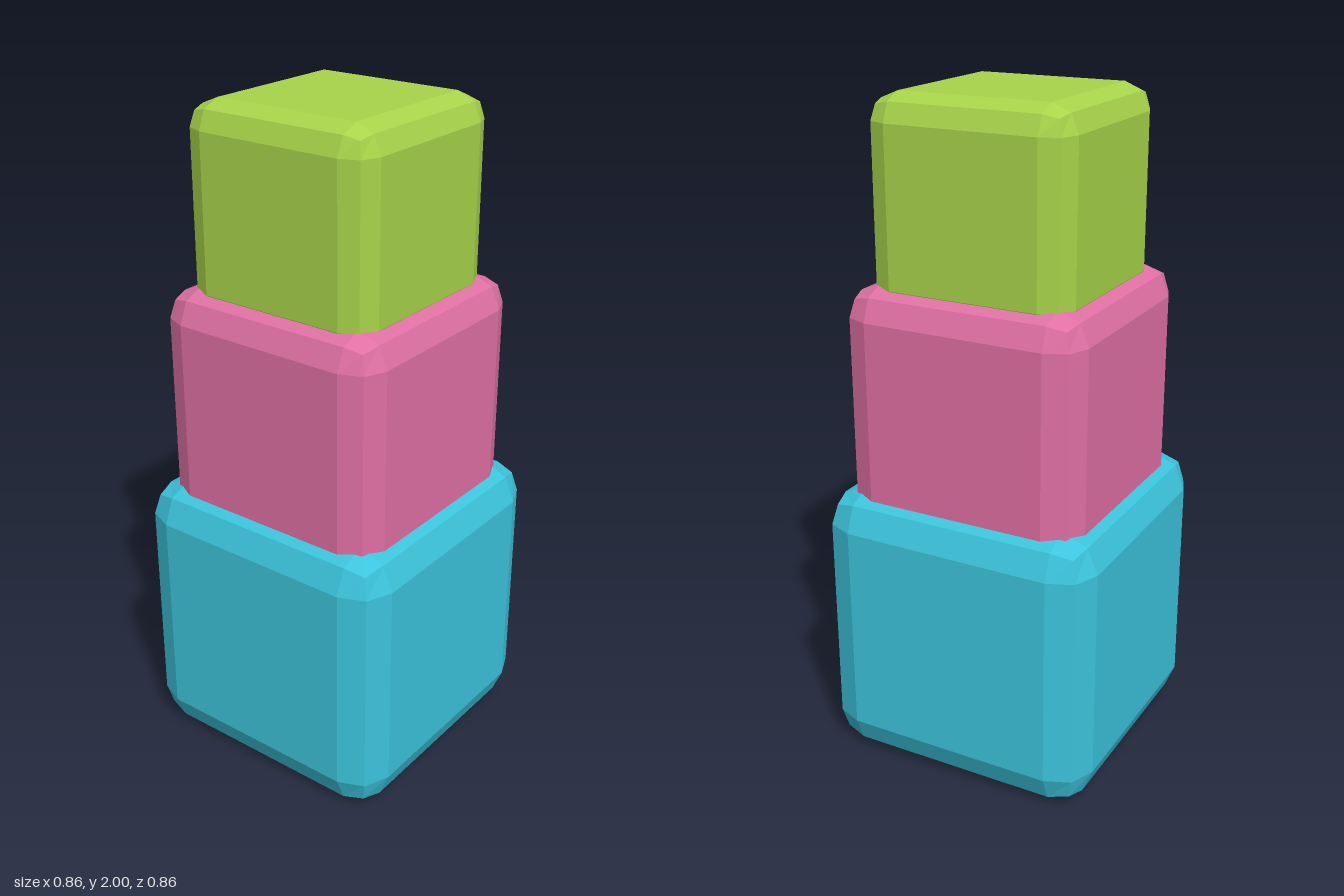
import * as THREE from 'three';
import { RoundedBoxGeometry } from 'three/addons/geometries/RoundedBoxGeometry.js';

// Stacked bevelled cubes: each one sinks slightly into the one below
const BLOCKS = [
  { name: 'bottomBlock', size: 0.86, top: 0.86, color: 0x3cc4dc },
  { name: 'middleBlock', size: 0.737, top: 1.475, color: 0xe070a4 },
  { name: 'topBlock', size: 0.613, top: 2, color: 0xa8d44a },
];

export function createModel() {
  const group = new THREE.Group();
  group.name = 'blockTower';
  for (const { name, size, top, color } of BLOCKS) {
    // One bevel segment gives two flat facets around every edge
    const geometry = new RoundedBoxGeometry(size, size, size, 1, size * 0.126);
    const material = new THREE.MeshStandardMaterial({ color, flatShading: true });
    const block = new THREE.Mesh(geometry, material);
    block.name = name;
    block.position.y = top - size / 2;
    group.add(block);
  }
  return group;
}
